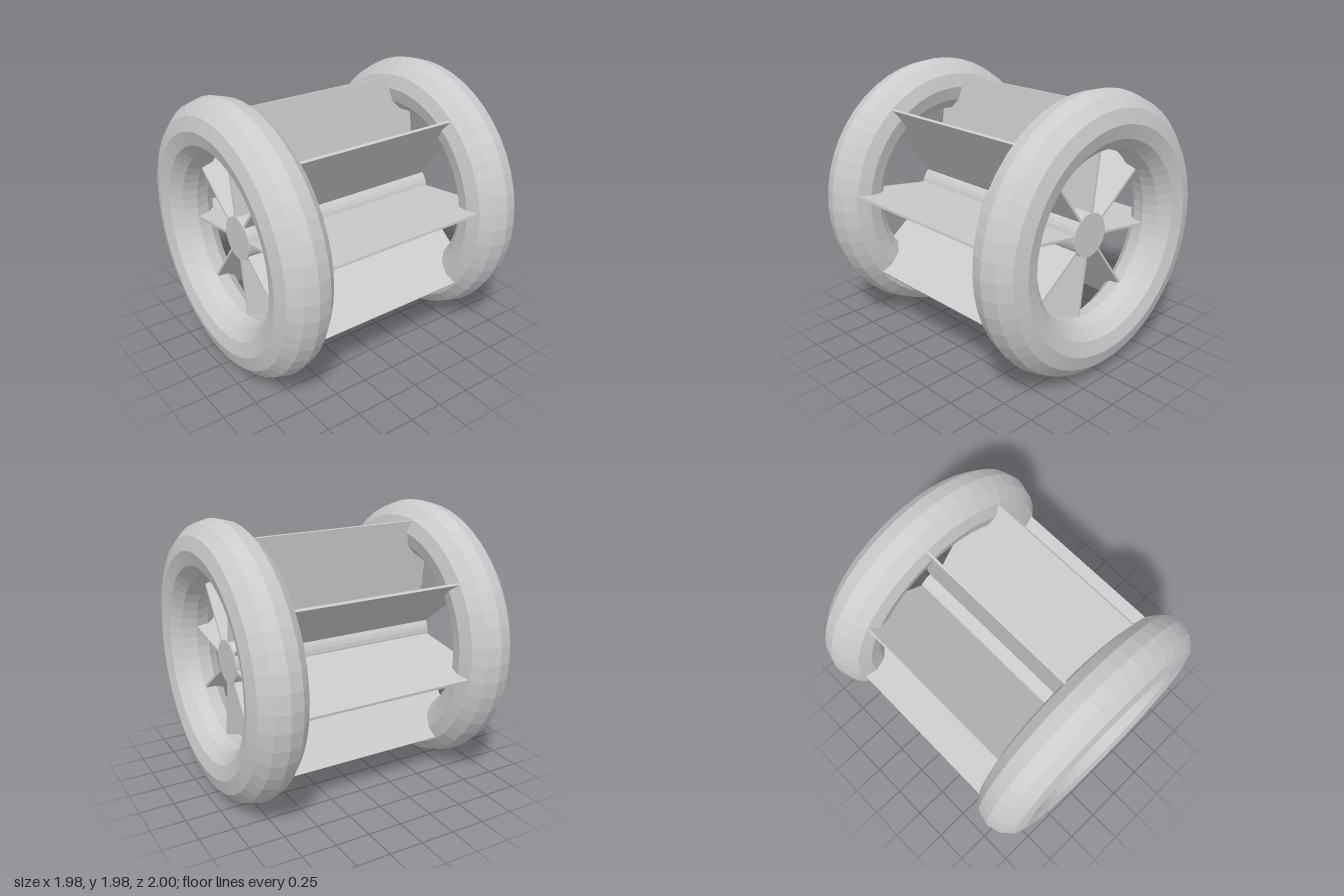
import * as THREE from 'three';

const AXLE_Y = 0.99;
const WHEEL_Z = 0.8;

export function createModel() {
  const model = new THREE.Group();
  const material = new THREE.MeshStandardMaterial({ color: 0xcccccc, flatShading: true });

  const add = (name, geometry, parent = model) => {
    const mesh = new THREE.Mesh(geometry, material);
    mesh.name = name;
    parent.add(mesh);
    return mesh;
  };

  // Everything is centred on the axle
  const wheel = new THREE.Group();
  wheel.name = 'paddleWheel';
  wheel.position.y = AXLE_Y;
  model.add(wheel);

  // Front and back ring floats
  for (const [name, z] of [['frontRing', WHEEL_Z], ['backRing', -WHEEL_Z]]) {
    add(name, new THREE.TorusGeometry(0.79, 0.2, 12, 48), wheel).position.z = z;
  }

  // Axle between the ring centres
  add('hub', new THREE.CylinderGeometry(0.157, 0.157, 2 * WHEEL_Z, 32).rotateX(Math.PI / 2), wheel);

  // Eight thin paddles from the axle into the rings
  const inner = 0.1, outer = 0.88;
  const paddle = new THREE.BoxGeometry(outer - inner, 0.018, 2 * WHEEL_Z - 0.01);
  paddle.translate((inner + outer) / 2, 0, 0);
  for (let i = 0; i < 8; i++) {
    add('paddle' + (i + 1), paddle, wheel).rotation.z = THREE.MathUtils.degToRad(7.8 + i * 45);
  }

  return model;
}
